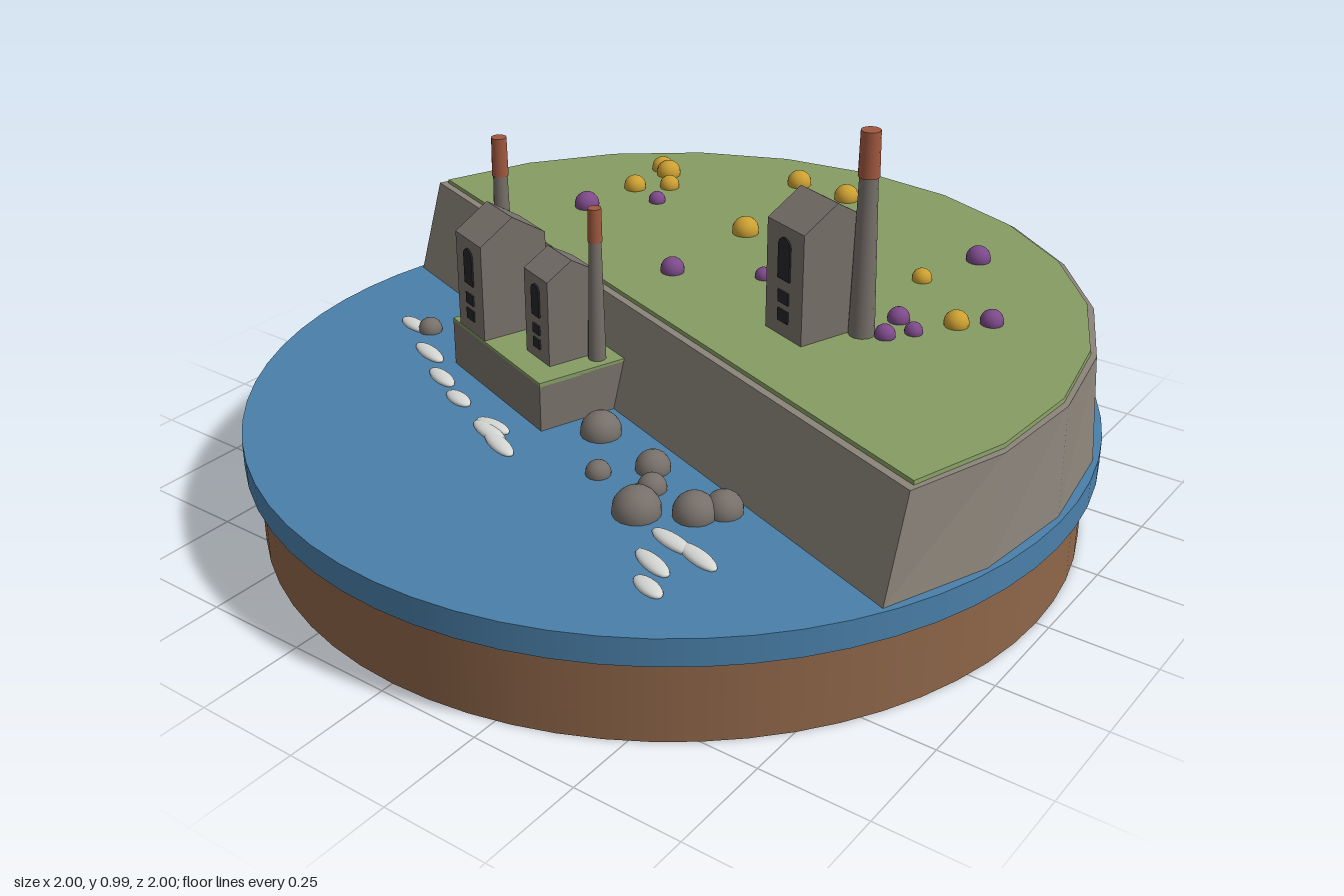
import * as THREE from 'three';

const TILT = -Math.PI / 9; // the coast runs 20 degrees off the x axis
const SEA = 0.265, LEDGE = 0.387, FIELD = 0.512;

const paint = (name, color) => {
  const m = new THREE.MeshStandardMaterial({ color });
  m.name = name;
  return m;
};

// Slab between two D-shaped outlines: an arc of radius r cut straight at z = v
function cutDisc(r0, v0, y0, r1, v1, y1) {
  const n = 13, pos = [];
  const outline = (r, v, y) => {
    const a = Math.asin(v / r), pts = [];
    for (let i = 0; i <= n; i++) {
      const t = -a + (Math.PI + 2 * a) * i / n;
      pts.push([r * Math.cos(t), y, -r * Math.sin(t)]);
    }
    return pts;
  };
  const lo = outline(r0, v0, y0), hi = outline(r1, v1, y1);
  for (let i = 0; i <= n; i++) {
    const j = (i + 1) % (n + 1);
    pos.push(...lo[i], ...lo[j], ...hi[j], ...lo[i], ...hi[j], ...hi[i]);
    if (i > 0 && i < n) pos.push(...hi[0], ...hi[i], ...hi[i + 1]);
  }
  const g = new THREE.BufferGeometry();
  g.setAttribute('position', new THREE.Float32BufferAttribute(pos, 3));
  g.computeVertexNormals();
  return g;
}

export function createModel() {
  const model = new THREE.Group();
  model.name = 'coastalMineDiorama';

  const earth = paint('earth brown', 0x8f6649);
  const water = paint('sea blue', 0x4a80aa);
  const grass = paint('grass green', 0x859c63);
  const cliffGrey = paint('cliff grey', 0x8b847a);
  const stone = paint('stone grey', 0x77706a);
  const brick = paint('brick red', 0xa0583f);
  const heather = paint('heather purple', 0x7d4a8a);
  const gorse = paint('gorse yellow', 0xcca032);
  const foamWhite = paint('foam white', 0xd6d8d6);
  const dark = paint('window dark', 0x26262a);

  const add = (parent, name, geo, mat, x = 0, y = 0, z = 0) => {
    const m = new THREE.Mesh(geo, mat);
    m.name = name;
    m.position.set(x, y, z);
    parent.add(m);
    return m;
  };

  // Round base and sea
  add(model, 'earthBase', new THREE.CylinderGeometry(0.97, 0.97, 0.2, 64), earth, 0, 0.1, 0);
  add(model, 'sea', new THREE.CylinderGeometry(1, 1, 0.065, 64), water, 0, 0.2325, 0);

  // Headland and the ledge below it
  const land = new THREE.Group();
  land.name = 'headland';
  land.rotation.y = TILT;
  model.add(land);
  add(land, 'cliff', cutDisc(0.988, 0.165, SEA, 0.97, 0.105, 0.503), cliffGrey);
  add(land, 'clifftopGrass', cutDisc(0.957, 0.087, 0.5, 0.955, 0.085, FIELD), grass);
  add(land, 'ledge', new THREE.BoxGeometry(0.415, 0.115, 0.3), stone, -0.205, SEA + 0.0575, 0.21);
  add(land, 'ledgeGrass', new THREE.BoxGeometry(0.415, 0.01, 0.3), grass, -0.205, LEDGE - 0.005, 0.21);

  // Engine houses: gable ends to the sides, windows towards the sea
  const plate = (shape) => new THREE.ExtrudeGeometry(shape, { depth: 0.004, bevelEnabled: false, curveSegments: 8 });
  function engineHouse(x, y, z, w, d, eave, peak) {
    const house = new THREE.Group();
    house.name = 'engineHouse';
    house.position.set(x, y, z);
    house.rotation.y = TILT;
    model.add(house);
    const h = eave - y, k = w / 0.13;
    const gable = new THREE.Shape([[-d / 2, -0.005], [d / 2, -0.005], [d / 2, h], [0, peak - y], [-d / 2, h]]
      .map(([a, b]) => new THREE.Vector2(a, b)));
    const walls = new THREE.ExtrudeGeometry(gable, { depth: w, bevelEnabled: false });
    walls.translate(0, 0, -w / 2).rotateY(Math.PI / 2);
    add(house, 'walls', walls, stone);

    const arch = new THREE.Shape();
    const r = 0.021 * k, low = h * 0.52, high = h * 0.9 - r;
    arch.moveTo(-r, low);
    arch.lineTo(r, low);
    arch.lineTo(r, high);
    arch.absarc(0, high, r, 0, Math.PI, false);
    arch.lineTo(-r, low);
    add(house, 'archedWindow', plate(arch), dark, 0, 0, d / 2);
    for (const f of [0.19, 0.36]) {
      add(house, 'smallWindow', new THREE.BoxGeometry(0.036 * k, h * 0.11, 0.006), dark, 0, h * f, d / 2 + 0.001);
    }
  }
  engineHouse(0.355, FIELD, -0.055, 0.13, 0.178, 0.775, 0.83);
  engineHouse(-0.392, LEDGE, 0.147, 0.122, 0.172, 0.626, 0.682);
  engineHouse(-0.183, LEDGE, 0.182, 0.105, 0.13, 0.597, 0.637);

  // Tapered stacks with brick tops: x, z, base, brick start, top, radius
  for (const [x, z, y0, y1, y2, r] of [
    [0.458, -0.085, FIELD, 0.885, 0.99, 0.024],
    [-0.453, 0.07, LEDGE, 0.73, 0.825, 0.02],
    [-0.097, 0.16, LEDGE, 0.68, 0.76, 0.017],
  ]) {
    const stack = new THREE.Group();
    stack.name = 'chimney';
    stack.position.set(x, 0, z);
    model.add(stack);
    add(stack, 'stoneShaft', new THREE.CylinderGeometry(r * 0.87, r * 1.25, y1 - y0 + 0.005, 12), stone, 0, (y0 + y1 - 0.005) / 2, 0);
    add(stack, 'brickTop', new THREE.CylinderGeometry(r * 0.92, r, y2 - y1, 12), brick, 0, (y1 + y2) / 2, 0);
  }

  // Half-buried balls: x, z, radius
  const ball = new THREE.SphereGeometry(1, 16, 12);
  const scatter = (name, mat, y, lift, list) => {
    for (const [x, z, r] of list) add(model, name, ball, mat, x, y + r * lift, z).scale.setScalar(r);
  };
  scatter('gorseBush', gorse, FIELD, 0.25, [
    [-0.14, -0.77, 0.032], [0.015, -0.755, 0.032], [-0.503, -0.648, 0.029], [-0.467, -0.626, 0.032],
    [-0.41, -0.552, 0.026], [-0.48, -0.492, 0.029], [-0.072, -0.412, 0.034], [0.426, -0.418, 0.024],
    [0.284, -0.252, 0.029], [0.608, -0.247, 0.029],
  ]);
  scatter('heatherBush', heather, FIELD, 0.25, [
    [0.48, -0.6, 0.03], [-0.376, -0.45, 0.022], [-0.503, -0.316, 0.032], [0.116, -0.21, 0.021],
    [0.229, -0.21, 0.034], [-0.08, -0.112, 0.029], [0.491, -0.193, 0.026], [0.55, -0.156, 0.021],
    [0.508, -0.102, 0.024], [0.668, -0.302, 0.027],
  ]);
  scatter('shoreRock', stone, SEA, 0.15, [
    [-0.503, 0.068, 0.037], [-0.685, 0.1, 0.03], [-0.005, 0.266, 0.048], [0.186, 0.325, 0.04],
    [0.235, 0.394, 0.033], [0.102, 0.412, 0.029], [0.411, 0.378, 0.043], [0.37, 0.427, 0.048], [0.266, 0.49, 0.054],
  ]);

  // Flat streaks of surf: x, z, half length, angle
  for (const [x, z, len, turn] of [
    [-0.735, 0.105, 0.052, -0.25], [-0.595, 0.2, 0.062, -0.33], [-0.48, 0.28, 0.054, -0.36],
    [-0.375, 0.337, 0.045, -0.3], [-0.222, 0.39, 0.052, -0.1], [-0.21, 0.415, 0.062, -0.3],
    [-0.155, 0.445, 0.062, -0.4], [0.395, 0.54, 0.062, -0.25], [0.47, 0.556, 0.062, -0.33],
    [0.41, 0.628, 0.058, -0.38], [0.453, 0.7, 0.045, -0.35],
  ]) {
    const surf = add(model, 'surf', ball, foamWhite, x, SEA + 0.004, z);
    surf.scale.set(len, 0.012, 0.021);
    surf.rotation.y = turn;
  }

  return model;
}
